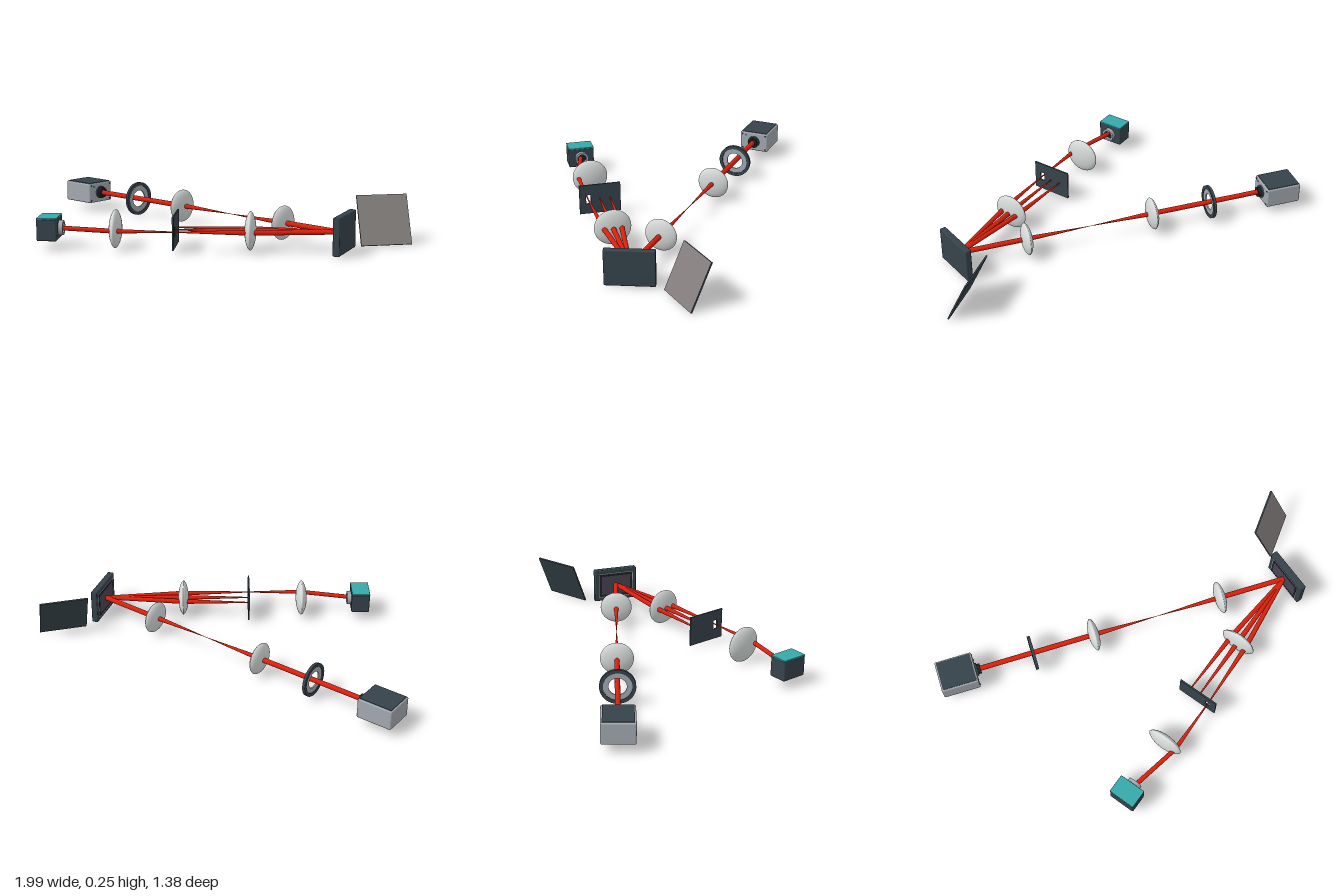
import * as THREE from 'three';
import { RoundedBoxGeometry } from 'three/addons/geometries/RoundedBoxGeometry.js';

const mat = (name, color, side = THREE.FrontSide) => {
  const m = new THREE.MeshStandardMaterial({ color, side });
  m.name = name;
  return m;
};

export function createModel() {
  const root = new THREE.Group();
  root.name = 'opticalBench';
  const slate = mat('dark slate', 0x36434b);
  const silver = mat('silver grey', 0xa3a9b1);
  const glass = mat('lens glass', 0xd6dbda);
  const red = mat('beam red', 0xd8200c);
  const teal = mat('teal', 0x36a9ab);
  const grey = mat('screen grey', 0x85807e);
  const display = mat('display violet', 0x4b4452);
  const black = mat('near black', 0x1c2226);
  const Y = 0.107;

  const add = (parent, name, geo, material, x = 0, y = 0, z = 0) => {
    const m = new THREE.Mesh(geo, material);
    m.name = name;
    m.position.set(x, y, z);
    parent.add(m);
    return m;
  };
  // group at (x, z) on the beam height, its local +z pointing along (dx, dz)
  const station = (name, x, z, dx, dz) => {
    const g = new THREE.Group();
    g.name = name;
    g.position.set(x, Y, z);
    g.rotation.y = Math.atan2(dx, dz);
    root.add(g);
    return g;
  };
  const disc = (r, h, n = 32) => new THREE.CylinderGeometry(r, r, h, n).rotateX(Math.PI / 2);
  // flat ring of the given depth, centred on z = 0
  const ring = (outer, inner, depth) => {
    const s = new THREE.Shape().absarc(0, 0, outer, 0, Math.PI * 2);
    s.holes.push(new THREE.Path().absarc(0, 0, inner, 0, Math.PI * 2, true));
    return new THREE.ExtrudeGeometry(s, { depth, bevelEnabled: false, curveSegments: 32 })
      .translate(0, 0, -depth / 2);
  };

  // laser housing with lid, nozzle, corner screws and status light
  const laser = station('laser', -0.867, -0.566, 0.8, 0.6);
  add(laser, 'laserBody', new RoundedBoxGeometry(0.172, 0.114, 0.202, 3, 0.008), silver);
  add(laser, 'laserLid', new THREE.BoxGeometry(0.156, 0.006, 0.186), slate, 0, 0.057, 0);
  add(laser, 'nozzleFlange', disc(0.036, 0.012), slate, 0, 0, 0.105);
  add(laser, 'nozzleRing', ring(0.028, 0.016, 0.03), black, 0, 0, 0.113);
  add(laser, 'statusLight', disc(0.006, 0.004, 16), teal, -0.05, 0.037, 0.102);
  for (const sx of [-1, 1]) for (const sy of [-1, 1])
    add(laser, 'screw', disc(0.005, 0.004, 12), slate, sx * 0.072, sy * 0.044, 0.102);

  // iris
  const iris = station('iris', -0.53, -0.313, 0.8, 0.6);
  add(iris, 'irisRim', ring(0.094, 0.075, 0.016), slate);
  add(iris, 'irisBlades', ring(0.077, 0.047, 0.008), silver);

  // biconvex lenses
  const lens = (name, x, z, dx, dz, r, half) => {
    const pts = [];
    for (let i = 0; i <= 24; i++) {
      const a = -Math.PI / 2 + (Math.PI * i) / 24;
      const c = Math.sin(a);
      pts.push(new THREE.Vector2(Math.max(0, r * Math.cos(a)),
        half * Math.sign(c) * Math.pow(Math.abs(c), 1.25)));
    }
    add(station(name, x, z, dx, dz), name + 'Glass',
      new THREE.LatheGeometry(pts, 48).rotateX(Math.PI / 2), glass);
  };
  lens('expanderLensA', -0.253, -0.107, 0.8, 0.6, 0.09, 0.029);
  lens('expanderLensB', 0.328, 0.329, 0.8, 0.6, 0.09, 0.029);
  lens('fanLens', 0.173, 0.555, 1, 0, 0.1, 0.03);
  lens('imagingLens', -0.515, 0.555, 1, 0, 0.1, 0.032);

  // reflective modulator panel
  const panel = station('modulator', 0.645, 0.56, -0.947, -0.32);
  add(panel, 'modulatorBody', new RoundedBoxGeometry(0.262, 0.196, 0.036, 3, 0.006), slate);
  add(panel, 'modulatorBezel', new THREE.BoxGeometry(0.216, 0.15, 0.003), silver, 0, 0, 0.0185);
  add(panel, 'modulatorGasket', new THREE.BoxGeometry(0.208, 0.142, 0.004), black, 0, 0, 0.019);
  add(panel, 'modulatorDisplay', new THREE.BoxGeometry(0.182, 0.116, 0.005), display, 0, 0, 0.0195);

  // leaning pattern screen
  const u = new THREE.Vector3(0.262, 0, -0.07).normalize();
  const n = u.clone().cross(new THREE.Vector3(-0.03, 0.245, -0.11)).normalize();
  const v = n.clone().cross(u);
  const screen = add(root, 'patternScreen', new THREE.BoxGeometry(0.271, 0.27, 0.009),
    [slate, slate, slate, slate, grey, slate]);
  screen.quaternion.setFromRotationMatrix(new THREE.Matrix4().makeBasis(u, v, n));
  screen.position.set(0.85, 0.128, 0.314);

  // order-selecting plate with a slot for one beam
  const w = 0.115, h = 0.085, sx = -0.065;
  const plate = new THREE.Shape([[-w, -h], [w, -h], [w, h], [-w, h]]
    .map(p => new THREE.Vector2(...p)));
  plate.holes.push(new THREE.Path([[-0.013, -0.026], [-0.013, 0.026], [0.013, 0.026], [0.013, -0.026]]
    .map(p => new THREE.Vector2(p[0] + sx, p[1]))));
  add(station('filterPlate', -0.208, 0.553, 1, 0), 'filterPlateSheet',
    new THREE.ExtrudeGeometry(plate, { depth: 0.008, bevelEnabled: false }).translate(0, 0, -0.004), slate);

  // camera
  const camera = station('camera', -0.857, 0.555, 1, 0);
  add(camera, 'cameraBody', new RoundedBoxGeometry(0.148, 0.116, 0.104, 3, 0.008), slate);
  add(camera, 'cameraLid', new RoundedBoxGeometry(0.148, 0.008, 0.104, 2, 0.003), teal, 0, 0.057, 0);
  add(camera, 'cameraMount', ring(0.038, 0.026, 0.026), silver, 0, 0, 0.062);
  add(camera, 'cameraSensor', disc(0.027, 0.006), black, 0, 0, 0.055);

  // beam segments: [x, z, radius] stops joined by cones
  const beam = (name, stops) => {
    for (let i = 1; i < stops.length; i++) {
      const [x0, z0, r0] = stops[i - 1], [x1, z1, r1] = stops[i];
      const d = new THREE.Vector3(x1 - x0, 0, z1 - z0);
      const m = add(root, name, new THREE.CylinderGeometry(r1, r0, d.length(), 20), red,
        (x0 + x1) / 2, Y, (z0 + z1) / 2);
      m.quaternion.setFromUnitVectors(new THREE.Vector3(0, 1, 0), d.normalize());
    }
  };
  beam('sourceBeam', [[-0.78, -0.501, 0.014], [-0.253, -0.107, 0.014], [0.037, 0.111, 0.001],
    [0.328, 0.329, 0.014], [0.625, 0.552, 0.014]]);
  for (const [zl, zp] of [[0.507, 0.497], [0.555, 0.555], [0.605, 0.62]])
    beam('fanBeam', [[0.625, 0.553, 0.011], [0.173, zl, 0.014], [-0.208, zp, 0.003]]);
  beam('imageBeam', [[-0.208, 0.62, 0.003], [-0.515, 0.622, 0.012], [-0.8, 0.562, 0.012]]);

  return root;
}
